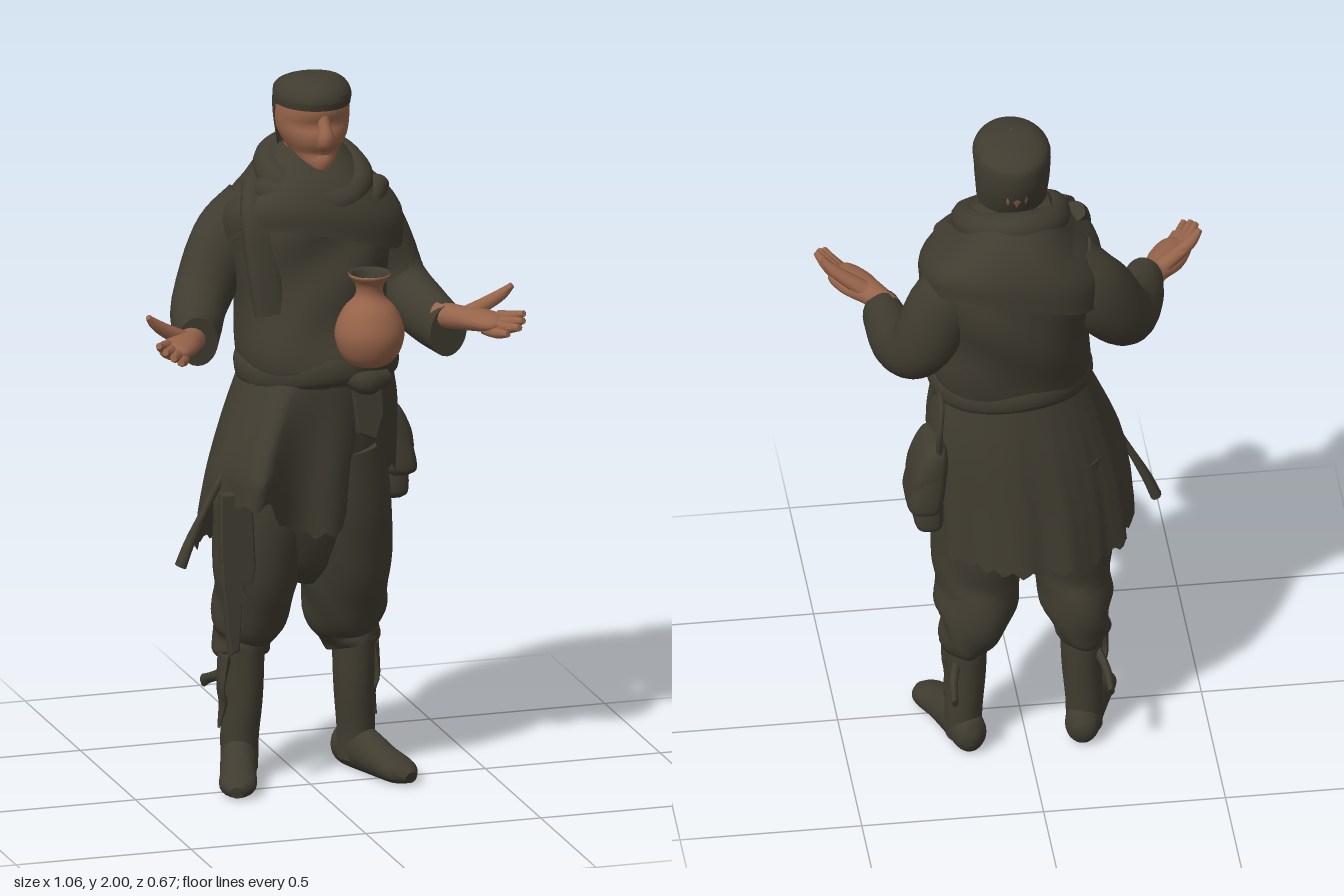
import * as THREE from 'three';
import { toCreasedNormals } from 'three/addons/utils/BufferGeometryUtils.js';

const V3 = (x, y, z) => new THREE.Vector3(x, y, z);

// Skin over cross-sections [x, y, z, sideRadius, otherRadius].
// flat keeps rings horizontal (angle 0 faces +z); deform(p, angle, t) moves each vertex.
function loft(rings, { flat = false, n = 24, rows = 24, power = 1, open = false, deform } = {}) {
  const path = new THREE.CatmullRomCurve3(rings.map(r => V3(r[0], r[1], r[2])), false, 'catmullrom');
  const radii = new THREE.CatmullRomCurve3(rings.map(r => V3(r[3], r[4], 0)), false, 'catmullrom');
  const first = path.getPoint(0), last = path.getPoint(1);
  const dir = last.clone().sub(first).normalize();
  const ref = flat || Math.abs(dir.y) > 0.85 ? V3(0, 0, 1) : V3(0, 1, 0);
  const bend = c => Math.sign(c) * Math.abs(c) ** power;
  const pos = [], idx = [];
  for (let i = 0; i <= rows; i++) {
    const t = i / rows, c = path.getPoint(t), r = radii.getPoint(t);
    const T = flat ? V3(0, 1, 0) : path.getTangent(t);
    const S = T.clone().cross(ref).normalize(), U = S.clone().cross(T);
    for (let j = 0; j < n; j++) {
      const a = j / n * Math.PI * 2;
      const p = c.clone().addScaledVector(U, bend(Math.cos(a)) * r.y).addScaledVector(S, bend(Math.sin(a)) * r.x);
      if (deform) deform(p, a, t);
      pos.push(p.x, p.y, p.z);
      if (i < rows) {
        const k = i * n + j, m = i * n + (j + 1) % n;
        idx.push(k, m, m + n, k, m + n, k + n);
      }
    }
  }
  if (!open) {
    const s = pos.length / 3, top = rows * n;
    pos.push(...first.toArray(), ...last.toArray());
    for (let j = 0; j < n; j++) {
      const k = (j + 1) % n;
      idx.push(s, k, j, s + 1, top + j, top + k);
    }
  }
  const g = new THREE.BufferGeometry();
  g.setAttribute('position', new THREE.Float32BufferAttribute(pos, 3));
  g.setIndex(idx);
  return toCreasedNormals(g, 0.9);
}

// Thin cloth piece from an outline in x and y
function cloth(points, depth) {
  const shape = new THREE.Shape(points.map(p => new THREE.Vector2(p[0], p[1])));
  return new THREE.ExtrudeGeometry(shape, { depth, bevelEnabled: true, bevelSize: 0.005, bevelThickness: 0.005, bevelSegments: 1 });
}

// Turned shape from a few smoothed profile points
function turned(profile) {
  const points = new THREE.SplineCurve(profile.map(p => new THREE.Vector2(...p))).getPoints(44);
  points.forEach(p => { p.x = Math.max(0, p.x); });
  return new THREE.LatheGeometry(points, 40);
}

export function createModel() {
  const model = new THREE.Group();
  const cloths = new THREE.MeshStandardMaterial({ name: 'dark cloth', color: 0x403c30, side: THREE.DoubleSide });
  const skin = new THREE.MeshStandardMaterial({ name: 'skin', color: 0x96644a });
  const clay = new THREE.MeshStandardMaterial({ name: 'clay', color: 0x966349 });
  const add = (name, geo, mat = cloths, parent = model) => {
    const m = new THREE.Mesh(geo, mat);
    m.name = name;
    parent.add(m);
    return m;
  };

  // Head, nose, neck and cap
  add('head', loft([[.035, 1.722, -.05, .024, .035], [.035, 1.745, -.065, .042, .07], [.035, 1.785, -.085, .066, .095],
    [.035, 1.835, -.095, .094, .115], [.035, 1.885, -.1, .103, .122], [.035, 1.94, -.1, .095, .115], [.035, 1.97, -.1, .06, .07]],
  { flat: true, deform: (p, a) => { // eye hollows and mouth
    const f = Math.max(0, Math.cos(a));
    p.z -= .014 * f * Math.exp(-(((p.y - 1.872) / .018) ** 2)) + .014 * f * Math.exp(-(((p.y - 1.79) / .012) ** 2));
  } }), skin);
  add('nose', loft([[.035, 1.915, -.005, .016, .018], [.035, 1.87, .014, .018, .022], [.035, 1.838, .032, .024, .024], [.035, 1.815, .012, .02, .018]], { n: 12, rows: 10 }), skin);
  add('neck', loft([[.03, 1.62, -.13, .08, .08], [.032, 1.72, -.12, .07, .075], [.034, 1.8, -.11, .07, .08]], { flat: true }), skin);
  add('cap', loft([[.035, 1.918, -.1, .104, .126], [.035, 1.945, -.1, .106, .13], [.035, 1.972, -.098, .092, .112],
    [.035, 1.992, -.088, .058, .066], [.035, 2, -.08, .002, .002]],
  { flat: true, open: true, n: 36, deform: (p, a, t) => {
    const back = THREE.MathUtils.smoothstep(-Math.cos(a), -.05, .55), low = Math.max(0, 1 - t * 3);
    p.y -= .15 * back * low;
    p.z += .05 * back * low * low;
    p.y -= .15 * Math.max(0, -.1 - p.z) * t; // crown slopes to the back
  } }));

  // Tunic body, belt and shoulder shawl
  add('tunic', loft([[.035, 1.14, -.06, .195, .185], [.035, 1.23, -.06, .218, .205], [.03, 1.36, -.1, .205, .2],
    [.03, 1.5, -.125, .222, .203], [.03, 1.62, -.13, .225, .195], [.03, 1.71, -.13, .15, .16], [.03, 1.78, -.13, .09, .09]],
  { flat: true, n: 40, power: .85, deform: (p, a, t) => { // slanting folds
    p.z += .008 * Math.sin(p.x * 18 - p.y * 26) * Math.sin(t * Math.PI) * Math.cos(a);
  } }));
  add('belt', loft([[.035, 1.15, -.06, .205, .19], [.035, 1.175, -.06, .224, .208], [.035, 1.215, -.06, .226, .208], [.035, 1.25, -.06, .205, .19]],
    { flat: true, n: 40, deform: (p, a) => { p.y += .014 * Math.sin(2 * a + 1); } }));
  add('shawl', loft([[.04, 1.55, -.13, .25, .21], [.04, 1.63, -.13, .245, .205], [.035, 1.71, -.135, .165, .17], [.03, 1.79, -.15, .095, .095]],
    { flat: true, n: 40, power: .82, deform: (p, a, t) => { p.y += (1 - t) * .045 * Math.sin(2 * a + 2.6); } }));
  const scarfPath = new THREE.CatmullRomCurve3([V3(.07, 1.66, .025), V3(.15, 1.695, -.05), V3(.13, 1.74, -.17),
    V3(.03, 1.765, -.22), V3(-.06, 1.745, -.17), V3(-.075, 1.71, -.05)], true);
  add('scarf', new THREE.TubeGeometry(scarfPath, 48, .045, 12, true));
  add('scarfFold', loft([[-.13, 1.69, -.05, .035, .04], [-.04, 1.66, .03, .03, .045], [.07, 1.61, .05, .028, .045], [.16, 1.63, .01, .03, .04], [.22, 1.67, -.08, .03, .03]]));
  add('scarfEnd', loft([[-.12, 1.7, -.08, .05, .03], [-.14, 1.62, -.01, .055, .03], [-.14, 1.5, .02, .048, .028], [-.125, 1.36, .04, .045, .024]], { power: .7 }));

  // Uneven skirt with a pulled-out front corner; hem height by angle
  const hem = [[0, .74], [17, .745], [21, .95], [34, 1], [60, .9], [95, .82], [125, .68], [180, .66], [235, .66], [270, .67],
    [284, .72], [298, .84], [330, .86], [337, .78], [350, .75], [360, .74]];
  const hemAt = deg => {
    const k = Math.max(1, hem.findIndex(h => h[0] >= deg)), [a, b] = [hem[k - 1], hem[k]];
    return THREE.MathUtils.mapLinear(deg, a[0], b[0], a[1], b[1]);
  };
  add('skirt', loft([[-.01, .7, -.1, .268, .218], [0, .87, -.09, .262, .212], [.02, 1.03, -.08, .242, .205], [.035, 1.2, -.06, .205, .195]],
    { flat: true, open: true, n: 120, deform: (p, a, t) => {
      const deg = a * 180 / Math.PI;
      const fold = 1 + (1 - t) * (.025 * Math.sin(9 * a + 1) + .015 * Math.sin(15 * a));
      const corner = Math.min(1, (1 - t) * 1.25) * Math.exp(-(((deg - 322) / 15) ** 2));
      const flank = Math.min(1, (1 - t) * 1.25) * Math.exp(-(((deg - 290) / 28) ** 2));
      p.x = p.x * fold - .03 * corner - .035 * flank;
      p.z = -.09 + (p.z + .09) * fold + .125 * corner;
      p.y = THREE.MathUtils.lerp(hemAt(deg) + .01 * Math.sin(31 * a), 1.2, t);
    } }));
  add('tornStrip', cloth([[-.28, .87], [-.2, .87], [-.19, .66], [-.205, .58], [-.222, .63], [-.235, .43], [-.255, .42], [-.275, .62], [-.28, .72]], .025)).position.z = .065;
  add('sashEnd', cloth([[.08, 1.16], [.16, 1.18], [.165, 1.08], [.145, 1.01], [.1, 1.03], [.09, 1.1]], .035)).position.z = .095;
  add('sashKnot', loft([[.07, 1.19, .11, .035, .025], [.12, 1.17, .13, .03, .035], [.18, 1.17, .09, .03, .025]], { n: 14 }));

  // Sleeves
  add('rightSleeve', loft([[-.1, 1.6, -.17, .085, .1], [-.19, 1.5, -.18, .085, .105], [-.275, 1.375, -.12, .078, .088],
    [-.325, 1.335, 0, .07, .072], [-.355, 1.32, .105, .055, .072]]));
  add('leftSleeve', loft([[.17, 1.59, -.18, .085, .1], [.235, 1.5, -.19, .085, .1], [.3, 1.36, -.17, .08, .088],
    [.345, 1.3, -.06, .07, .083], [.365, 1.285, .095, .055, .075]]));

  // Open hands, legs, boots
  for (const s of [-1, 1]) {
    const side = s < 0 ? 'right' : 'left';
    const limb = (pts, o) => loft(pts.map(p => [p[0] * s, ...p.slice(1)]), o);
    const hand = new THREE.Group();
    hand.name = side + 'Hand';
    model.add(hand);
    add('palm', limb([[.35, 1.325, .06, .038, .036], [.385, 1.33, .125, .038, .033], [.425, 1.334, .175, .052, .03], [.46, 1.335, .23, .046, .024], [.475, 1.338, .25, .025, .012]], { n: 16 }), skin, hand);
    const fingers = [[[.475, 1.348, .205], [.522, 1.372, .28]], [[.465, 1.34, .22], [.512, 1.36, .308]],
      [[.45, 1.332, .225], [.495, 1.347, .328]], [[.43, 1.32, .22], [.468, 1.326, .308]]];
    for (const [a, b] of fingers) {
      const mid = a.map((v, i) => (v + b[i]) / 2 - (i === 1 ? .004 : 0));
      add('finger', limb([[...a, .018, .017], [...mid, .017, .016], [...b, .009, .009]], { n: 8, rows: 8 }), skin, hand);
    }
    add('thumb', limb([[.395, 1.335, .13, .026, .024], [.455, 1.37, .15, .021, .02], [.495, 1.398, .165, .016, .016], [.52, 1.425, .178, .008, .008]], { n: 10, rows: 10 }), skin, hand);

    const w = s > 0 ? .012 : 0; // the left trouser leg is fuller
    add(side + 'TrouserLeg', limb([[.09, .95, -.09, .14, .17], [.11, .75, -.09, .132 + w, .165], [.125, .6, -.095, .116 + w, .14],
      [.133, .5, -.115, .104 + w, .125], [.146, .42, -.148, .087 + w, .105], [.156 + w, .355, -.14, .068, .08], [.158 + w, .33, -.13, .045, .05]],
    { n: 32, rows: 32, deform: (p, a, t) => { // gathered creases
      const f = .012 * Math.sin(t * 24 + 2 * a) * t;
      p.x += f * Math.sin(a);
      p.z += f * Math.cos(a);
    } }));
    add(side + 'BootShaft', limb([[.155 + w, .38, -.13, .062, .07], [.153 + w, .24, -.13, .055, .068], [.16 + w, .12, -.135, .052, .062], [.16 + w, .03, -.135, .05, .06]]));
    add(side + 'Foot', limb([[.135 + w, .055, -.215, .015, .02], [.145 + w, .055, -.19, .045, .055], [.17 + w, .06, -.11, .05, .065],
      [.2 + w, .045, -.02, .05, .048], [.225 + 1.5 * w, .032, .055, .05, .034], [.24 + 1.5 * w, .024, .095, .02, .016]],
    { deform: p => { p.y = Math.max(p.y, .002); } }));

    // Loose ties and rags
    add('tie', limb([[.19, .29, -.16, .012, .02], [.21, .265, -.22, .012, .014], [.215, .235, -.29, .009, .018]], { n: 8, rows: 8 }));
    add('rag', limb([[.21, .36, -.11, .02, .03], [.222, .27, -.11, .008, .03], [.212, .22, -.12, .012, .02], [.225, .15, -.12, .003, .006]], { n: 8, rows: 10 }));
  }
  add('trouserSeat', loft([[.005, .565, -.1, .04, .08], [.005, .64, -.095, .14, .13], [.005, .8, -.09, .22, .175], [.01, 1, -.08, .2, .17]], { flat: true }));

  // Belt pouch with flap, lower bag and strap
  const pouch = new THREE.Group();
  pouch.name = 'pouch';
  const bag = (name, rings) => add(name, loft(rings, { flat: true, power: .55, rows: 16 }), cloths, pouch);
  bag('pouchBody', [[.285, .835, -.155, .035, .085], [.287, .855, -.155, .05, .097], [.27, .95, -.155, .045, .09], [.255, 1.02, -.152, .028, .08], [.25, 1.035, -.15, .015, .065]]);
  bag('pouchFlap', [[.283, .91, -.155, .047, .088], [.272, .96, -.155, .049, .09], [.258, 1.02, -.152, .034, .083], [.25, 1.042, -.15, .015, .065]]);
  bag('lowerBag', [[.275, .765, -.155, .025, .06], [.275, .785, -.155, .04, .078], [.275, .86, -.155, .04, .08]]);
  const strap = new THREE.CatmullRomCurve3([V3(.25, 1.02, -.085), V3(.255, 1.1, -.075), V3(.24, 1.165, -.11), V3(.24, 1.165, -.19), V3(.25, 1.1, -.23), V3(.25, 1.02, -.22)]);
  add('pouchStrap', new THREE.TubeGeometry(strap, 24, .009, 6), cloths, pouch);
  model.add(pouch);

  // Short sheath under the skirt
  add('sheath', loft([[-.25, .92, .02, .012, .012], [-.3, .83, .02, .01, .01], [-.35, .73, .02, .014, .018], [-.378, .66, .02, .016, .022]], { n: 10, rows: 10 }));

  // Clay jug with a dark mouth
  const jug = new THREE.Group();
  jug.name = 'jug';
  add('jugBody', turned([[0, 1.235], [.045, 1.238], [.077, 1.265], [.094, 1.31], [.092, 1.35], [.072, 1.395], [.045, 1.425],
    [.037, 1.445], [.041, 1.468], [.057, 1.49], [.056, 1.497]]), clay, jug);
  add('jugMouth', turned([[.0565, 1.498], [.048, 1.494], [.037, 1.468], [.03, 1.45], [0, 1.445]]), cloths, jug);
  jug.position.set(.112, 0, .18);
  model.add(jug);

  return model;
}
